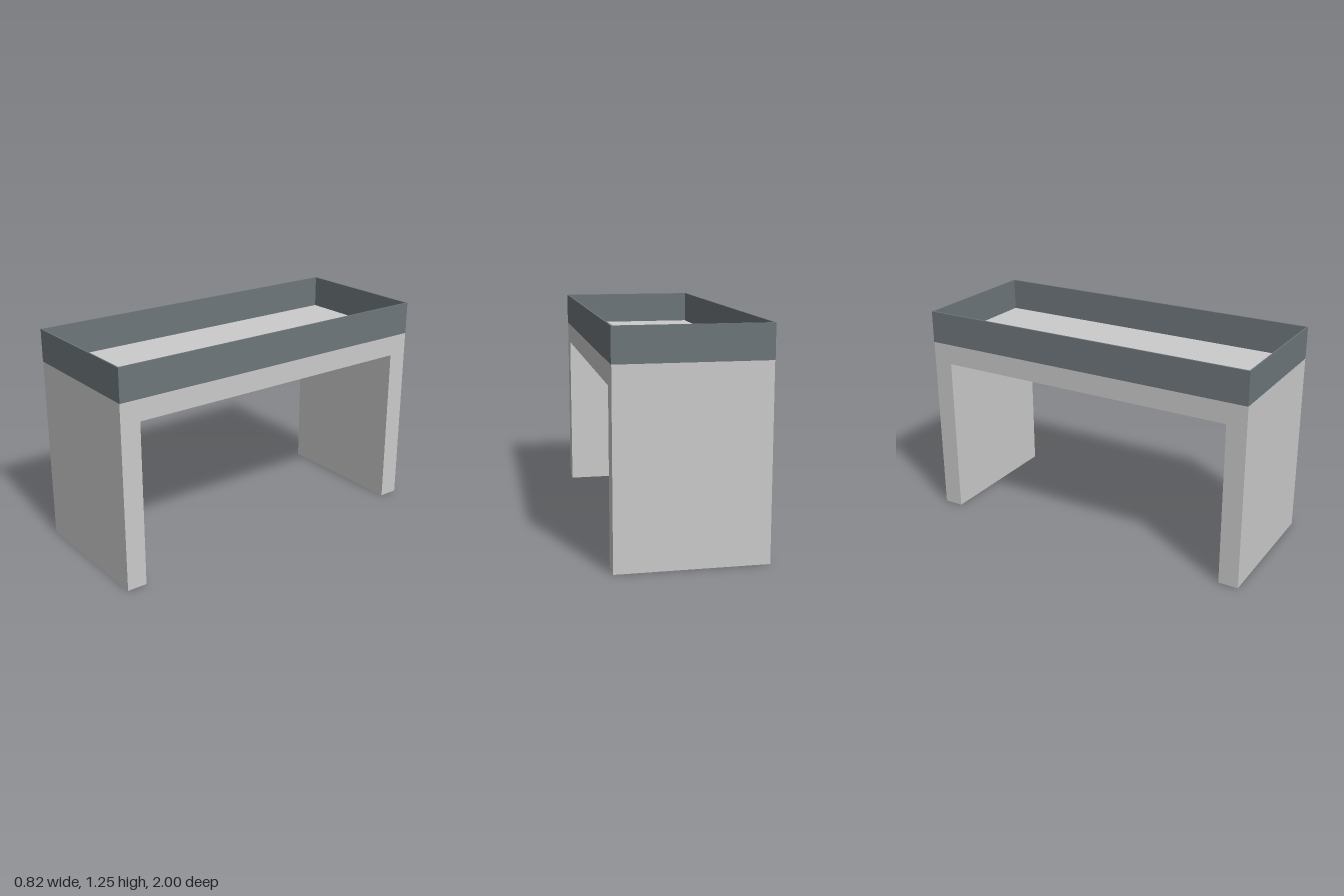
import * as THREE from 'three';

// Closed polygon from [x, y] corner pairs
const outline = (Type, pts) => new Type(pts.map(([x, y]) => new THREE.Vector2(x, y)));
const rect = (x, y) => [[-x, -y], [x, -y], [x, y], [-x, y]];

export function createModel() {
  const model = new THREE.Group();
  const stone = new THREE.MeshStandardMaterial({ color: 0xcbcbcb });
  stone.name = 'paleGrey';
  const glass = new THREE.MeshStandardMaterial({ color: 0x6e767a });
  glass.name = 'smokedGlass';

  const HX = 0.409, HZ = 1, TOP = 1.06, HEIGHT = 1.247;
  const LEG = 0.885, UNDER = 0.94; // inner leg face, underside of slab

  // Bridge-shaped base: side profile extruded across the width
  const profile = outline(THREE.Shape, [
    [-HZ, 0], [-LEG, 0], [-LEG, UNDER], [LEG, UNDER],
    [LEG, 0], [HZ, 0], [HZ, TOP], [-HZ, TOP],
  ]);
  const baseGeo = new THREE.ExtrudeGeometry(profile, { depth: HX * 2, bevelEnabled: false });
  baseGeo.translate(0, 0, -HX).rotateY(Math.PI / 2);
  const base = new THREE.Mesh(baseGeo, stone);
  base.name = 'bridgeBase';

  // Thin open glass surround standing on the slab
  const wall = 0.008;
  const ring = outline(THREE.Shape, rect(HX + 0.002, HZ));
  ring.holes.push(outline(THREE.Path, rect(HX - wall, HZ - wall)));
  const rimGeo = new THREE.ExtrudeGeometry(ring, { depth: HEIGHT - TOP, bevelEnabled: false });
  rimGeo.rotateX(-Math.PI / 2).translate(0, TOP, 0);
  const rim = new THREE.Mesh(rimGeo, glass);
  rim.name = 'glassSurround';

  model.add(base, rim);
  return model;
}
